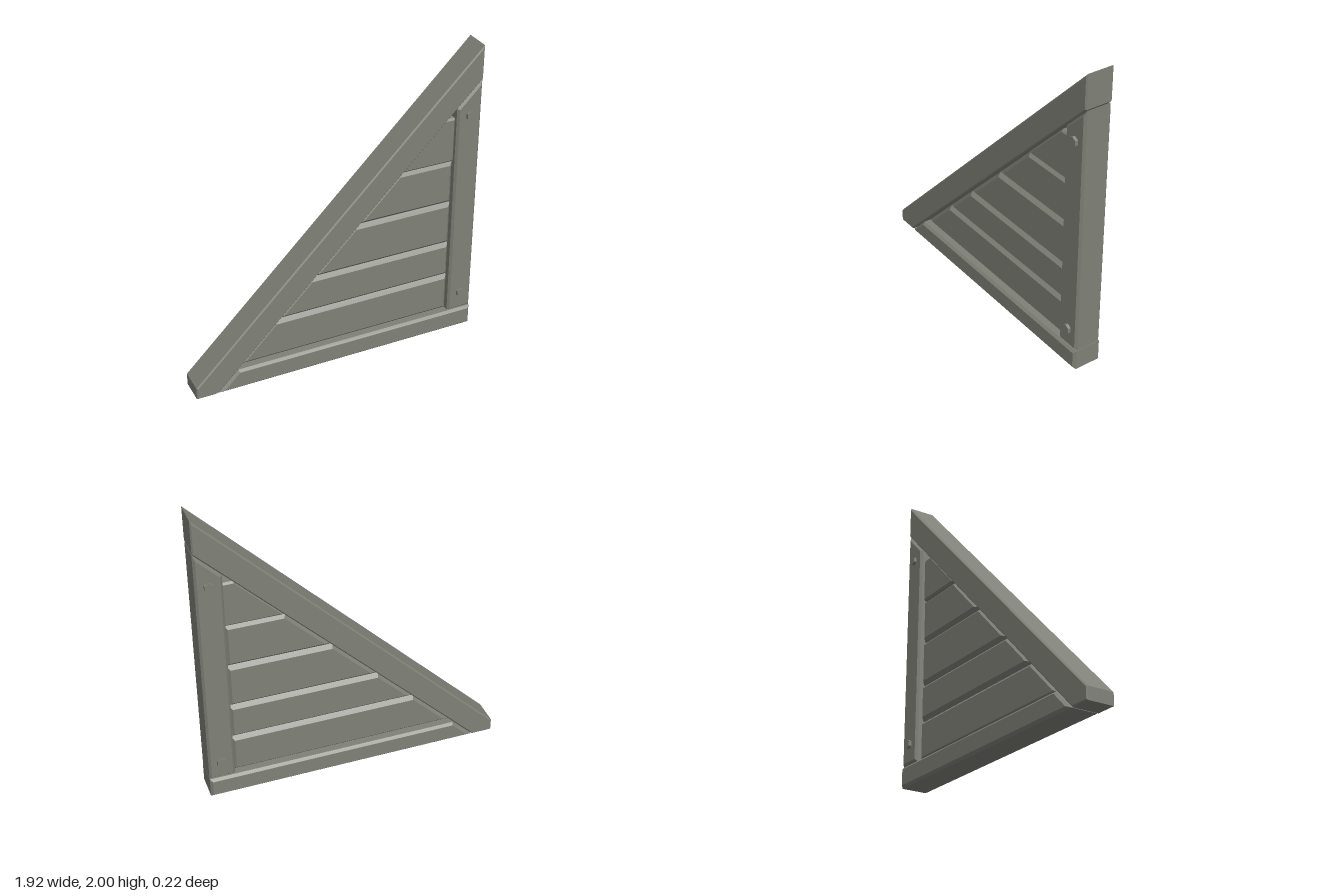
import * as THREE from 'three';
import { ConvexGeometry } from 'three/addons/geometries/ConvexGeometry.js';

const stone = new THREE.MeshStandardMaterial({ color: 0x7f8077 });
stone.name = 'greyPanel';

// Shrinks a convex counter-clockwise outline by d on every side
function inset(pts, d) {
  const n = pts.length;
  return pts.map((p, i) => {
    const a = pts[(i + n - 1) % n], b = pts[(i + 1) % n];
    const u = new THREE.Vector2(p[0] - a[0], p[1] - a[1]).normalize();
    const v = new THREE.Vector2(b[0] - p[0], b[1] - p[1]).normalize();
    const k = d / (1 + u.dot(v));
    return [p[0] - (u.y + v.y) * k, p[1] + (u.x + v.x) * k];
  });
}

// Beam with the given outline, half depth and chamfered front and back edges
function beam(name, outline, half, chamfer) {
  const inner = inset(outline, chamfer);
  const points = [];
  for (const s of [-1, 1]) {
    for (const [x, y] of outline) points.push(new THREE.Vector3(x, y, s * (half - chamfer)));
    for (const [x, y] of inner) points.push(new THREE.Vector3(x, y, s * half));
  }
  const mesh = new THREE.Mesh(new ConvexGeometry(points), stone);
  mesh.name = name;
  return mesh;
}

export function createModel() {
  const group = new THREE.Group();
  group.name = 'triangularPanel';

  const right = 0.957;
  const slope = (y) => y - 0.822; // x on the underside of the diagonal

  // Outer frame
  group.add(beam('diagonalBeam',
    [[-0.96, 0.003], [-0.826, 0.003], [right, 1.783], [right, 2], [-0.96, 0.083]], 0.092, 0.008));
  group.add(beam('baseBeam',
    [[slope(0.005), 0.005], [right, 0.005], [right, 0.14], [slope(0.14), 0.14]], 0.1, 0.016));
  group.add(beam('post',
    [[0.793, 0.145], [right, 0.145], [right, 1.777], [0.793, 1.613]], 0.092, 0.014));

  // Horizontal slats, stacked with chamfered joints
  const joints = [0.143, 0.407, 0.65, 0.948, 1.243, 1.542];
  for (let i = 0; i < 5; i++) {
    const y0 = joints[i], y1 = joints[i + 1];
    group.add(beam('slat' + (i + 1),
      [[slope(y0), y0], [0.8, y0], [0.8, y1], [slope(y1), y1]], 0.062, i === 4 ? 0.012 : 0.025));
  }

  // Hexagonal bolts through the post
  for (const y of [0.272, 1.56]) {
    const bolt = new THREE.Mesh(new THREE.CylinderGeometry(0.031, 0.031, 0.222, 6).toNonIndexed(), stone);
    bolt.geometry.computeVertexNormals();
    bolt.rotation.x = Math.PI / 2;
    bolt.position.set(0.878, y, 0);
    bolt.name = 'bolt';
    group.add(bolt);
  }
  return group;
}
